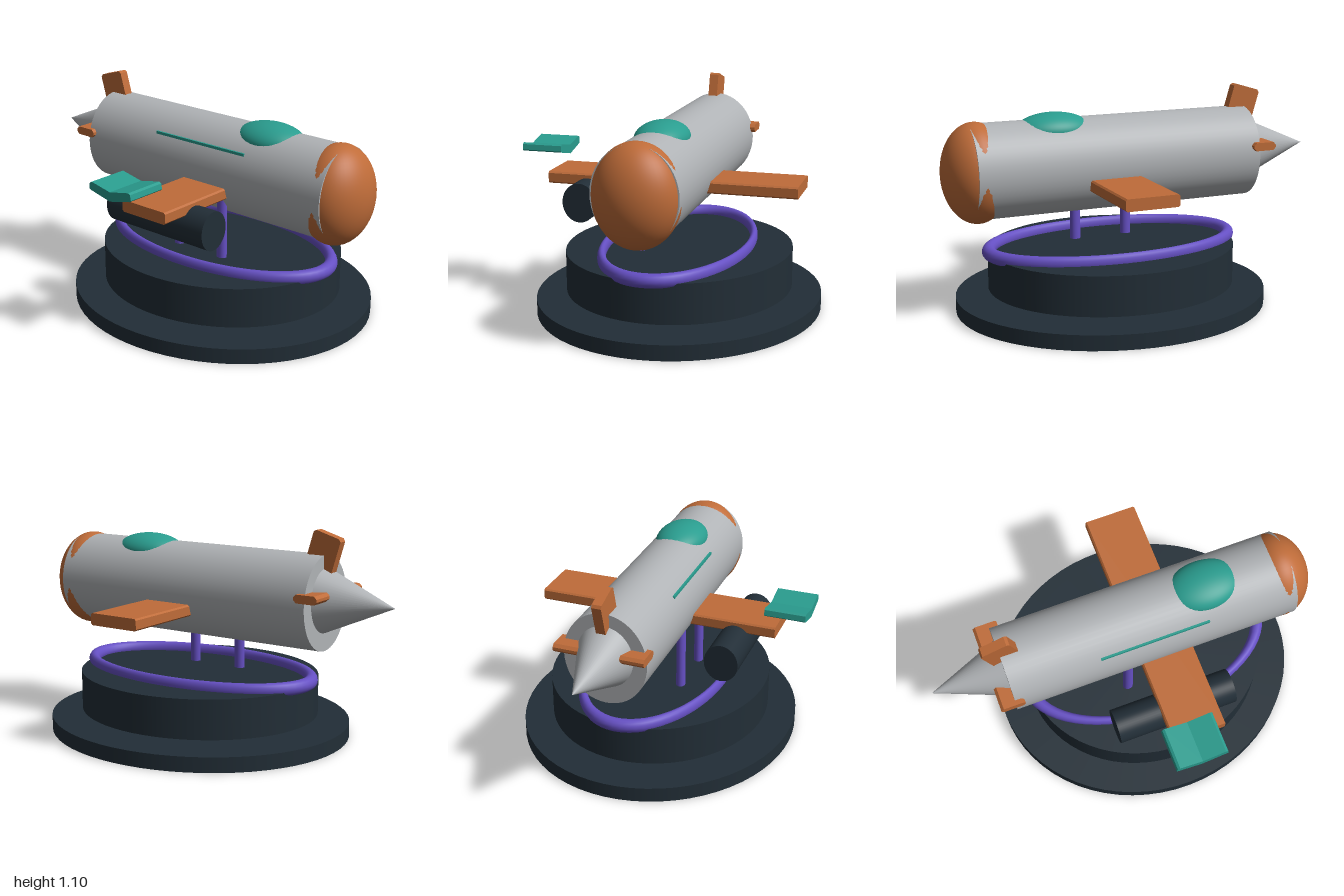
import * as THREE from 'three';

const paint = (name, color) => {
  const m = new THREE.MeshStandardMaterial({ color });
  m.name = name;
  return m;
};

export function createModel() {
  const grey = paint('hull grey', 0xb0b3b6);
  const orange = paint('orange', 0xbf6c39);
  const teal = paint('teal', 0x2a9d8f);
  const purple = paint('purple', 0x6650c4);
  const dark = paint('dark slate', 0x222e37);

  const model = new THREE.Group();
  const Z = -0.035; // centre line of the ship and stand

  const add = (name, geometry, material, x, y, z) => {
    const mesh = new THREE.Mesh(geometry, material);
    mesh.name = name;
    mesh.position.set(x, y, z);
    model.add(mesh);
    return mesh;
  };
  // Cylinder or cone lying along x, with an oval section
  const lying = (front, back, length, sz) =>
    new THREE.CylinderGeometry(front, back, length, 48).rotateZ(-Math.PI / 2).scale(1, 1, sz);
  const ellipsoid = (rx, ry, rz) => new THREE.SphereGeometry(1, 48, 32).scale(rx, ry, rz);
  // Outline in x and y, extruded along z and centred
  const slab = (points, depth) => {
    const shape = new THREE.Shape(points.map(([x, y]) => new THREE.Vector2(x, y)));
    return new THREE.ExtrudeGeometry(shape, { depth, bevelEnabled: false }).translate(0, 0, -depth / 2);
  };
  // Bar along z with clipped long edges
  const bar = (w, h, depth, c) => {
    const a = w / 2, b = h / 2;
    return slab([[-a + c, -b], [a - c, -b], [a, -b + c], [a, b - c],
      [a - c, b], [-a + c, b], [-a, b - c], [-a, -b + c]], depth);
  };

  // Two-step oval stand
  add('basePlate', new THREE.CylinderGeometry(0.81, 0.81, 0.077, 64).scale(1, 1, 0.895), dark, 0.12, 0.0385, Z);
  add('pedestal', new THREE.CylinderGeometry(0.642, 0.642, 0.202, 64).scale(1, 1, 0.895), dark, 0.12, 0.212, Z);
  add('standRing', new THREE.TorusGeometry(0.648, 0.035, 16, 64).rotateX(Math.PI / 2).scale(1, 1, 0.556),
    purple, 0.12, 0.325, Z);

  // Landing legs with wheels
  for (const x of [-0.027, 0.257]) {
    add('landingLeg', new THREE.CylinderGeometry(0.027, 0.027, 0.57, 20).scale(1, 1, 0.88), purple, x, 0.365, 0.128);
    add('landingWheel', new THREE.TorusGeometry(0.072, 0.027, 12, 32).rotateY(Math.PI / 2), dark, x, 0.17, 0.128);
  }

  // Hull, nose and tail
  add('hull', lying(0.237, 0.237, 1.5, 0.89), grey, 0.12, 0.747, Z);
  add('noseCap', ellipsoid(0.17, 0.25, 0.21), orange, 0.83, 0.742, Z);
  add('tailCone', lying(0, 0.16, 0.37, 0.89).rotateY(Math.PI), grey, -0.815, 0.76, Z);
  add('canopy', ellipsoid(0.193, 0.085, 0.132), teal, 0.43, 0.93, Z);
  add('sideStripe', new THREE.BoxGeometry(0.57, 0.014, 0.012), teal, 0.115, 0.885, 0.136);

  // Wing and fins
  add('wing', bar(0.275, 0.06, 1.275, 0.008), orange, 0.172, 0.67, Z);
  add('tailPlane', bar(0.125, 0.042, 0.455, 0.014), orange, -0.646, 0.80, Z - 0.003);
  add('tailFin', bar(0.152, 0.21, 0.048, 0.012), orange, -0.617, 0.984, Z).rotation.z = 0.29;

  // Pod below one wing and the bent plate beyond its tip
  add('enginePod', lying(0.0985, 0.0985, 0.625, 0.89), dark, 0.117, 0.578, 0.395);
  add('wingtipPlate', slab([[-0.127, -0.007], [0, -0.036], [0.127, -0.007], [0.135, 0], [0.13, 0.027], [0.118, 0.034],
    [0, 0.01], [-0.118, 0.034], [-0.13, 0.027], [-0.135, 0]], 0.208), teal, 0.116, 0.792, 0.661);

  return model;
}
